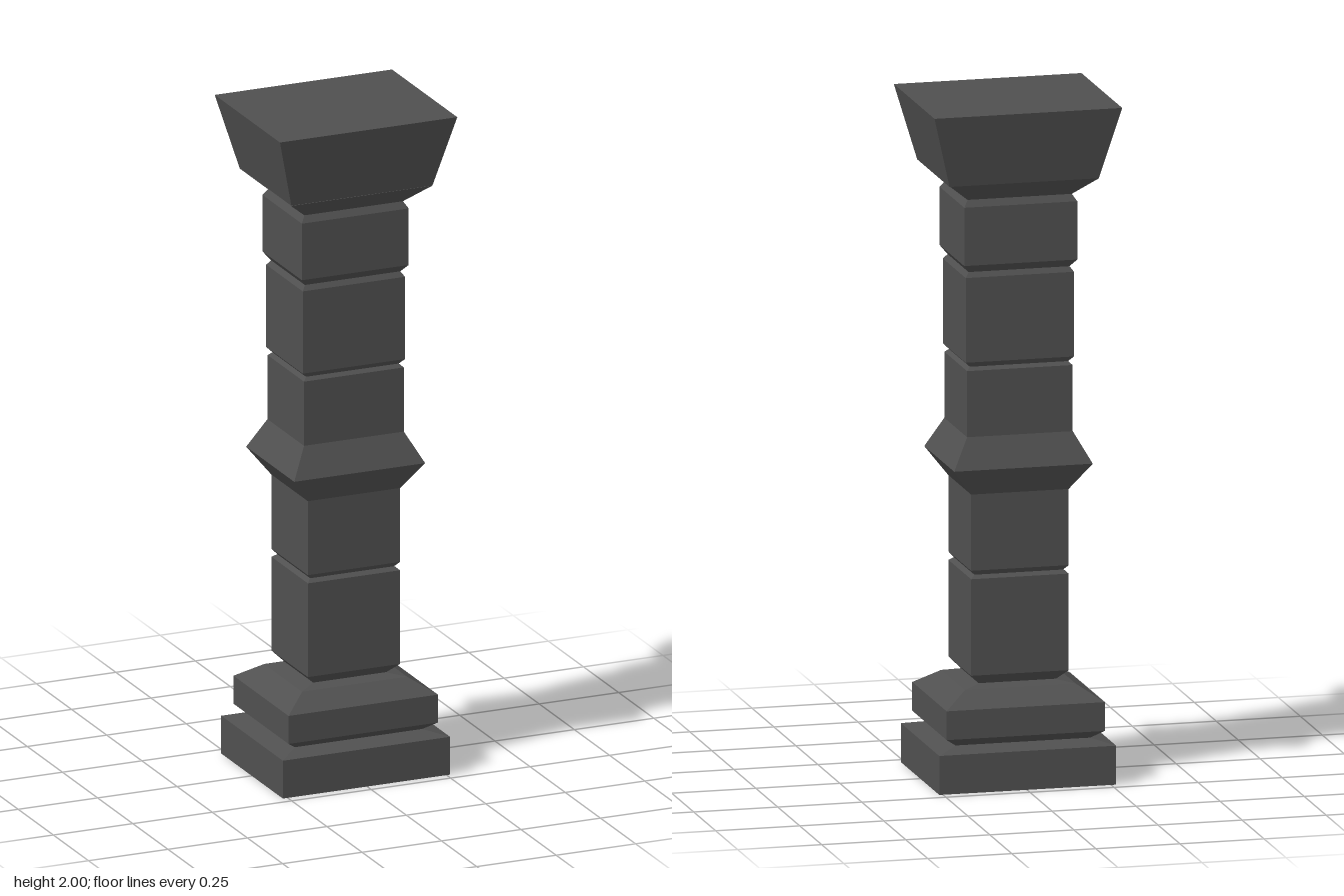
import * as THREE from 'three';

const material = new THREE.MeshStandardMaterial({ color: 0x505050, flatShading: true });

// Stacks rectangular rings [y, halfWidth, halfDepth] into a closed flat-sided solid
function loft(name, rings, cx = -0.002, cz = 0.002) {
  const corners = [[-1, 1], [1, 1], [1, -1], [-1, -1]];
  const positions = [];
  const index = [];
  for (const [y, hx, hz] of rings) {
    for (const [sx, sz] of corners) positions.push(cx + sx * hx, y, cz + sz * hz);
  }
  for (let r = 0; r < rings.length - 1; r++) {
    for (let i = 0; i < 4; i++) {
      const a = r * 4 + i, b = r * 4 + (i + 1) % 4;
      index.push(a, b, b + 4, a, b + 4, a + 4);
    }
  }
  const t = (rings.length - 1) * 4;
  index.push(0, 2, 1, 0, 3, 2, t, t + 1, t + 2, t, t + 2, t + 3);
  const indexed = new THREE.BufferGeometry();
  indexed.setAttribute('position', new THREE.Float32BufferAttribute(positions, 3));
  indexed.setIndex(index);
  const geometry = indexed.toNonIndexed();
  geometry.computeVertexNormals();
  const mesh = new THREE.Mesh(geometry, material);
  mesh.name = name;
  return mesh;
}

export function createModel() {
  const column = new THREE.Group();
  column.name = 'column';
  column.add(
    // Stepped base
    loft('plinth', [[0, 0.263, 0.219], [0.115, 0.263, 0.219], [0.13, 0.2, 0.163]]),
    loft('baseMoulding', [
      [0.13, 0.2, 0.163], [0.155, 0.235, 0.196], [0.24, 0.235, 0.196],
      [0.285, 0.165, 0.135], [0.295, 0.113, 0.1],
    ]),
    // Shaft blocks, separated by chamfered grooves
    loft('lowerShaftBlock', [
      [0.295, 0.115, 0.1], [0.325, 0.145, 0.13], [0.61, 0.145, 0.13], [0.62, 0.132, 0.117],
    ]),
    loft('middleShaftBlock', [[0.62, 0.132, 0.117], [0.635, 0.145, 0.13], [0.86, 0.145, 0.13]]),
    loft('collar', [[0.86, 0.145, 0.13], [0.94, 0.206, 0.171], [1.03, 0.157, 0.13]]),
    loft('upperShaftBlock', [[1.03, 0.157, 0.13], [1.225, 0.157, 0.13], [1.235, 0.146, 0.119]]),
    loft('topShaftBlock', [
      [1.235, 0.146, 0.119], [1.25, 0.161, 0.13], [1.5, 0.161, 0.13], [1.515, 0.15, 0.12],
    ]),
    loft('neckBlock', [
      [1.515, 0.15, 0.12], [1.538, 0.168, 0.14], [1.71, 0.168, 0.14], [1.73, 0.155, 0.128],
    ]),
    // Flared capital
    loft('capitalUnderside', [[1.73, 0.155, 0.128], [1.785, 0.222, 0.184]]),
    loft('capital', [[1.785, 0.222, 0.184], [2, 0.279, 0.232]], 0, 0),
  );
  return column;
}
